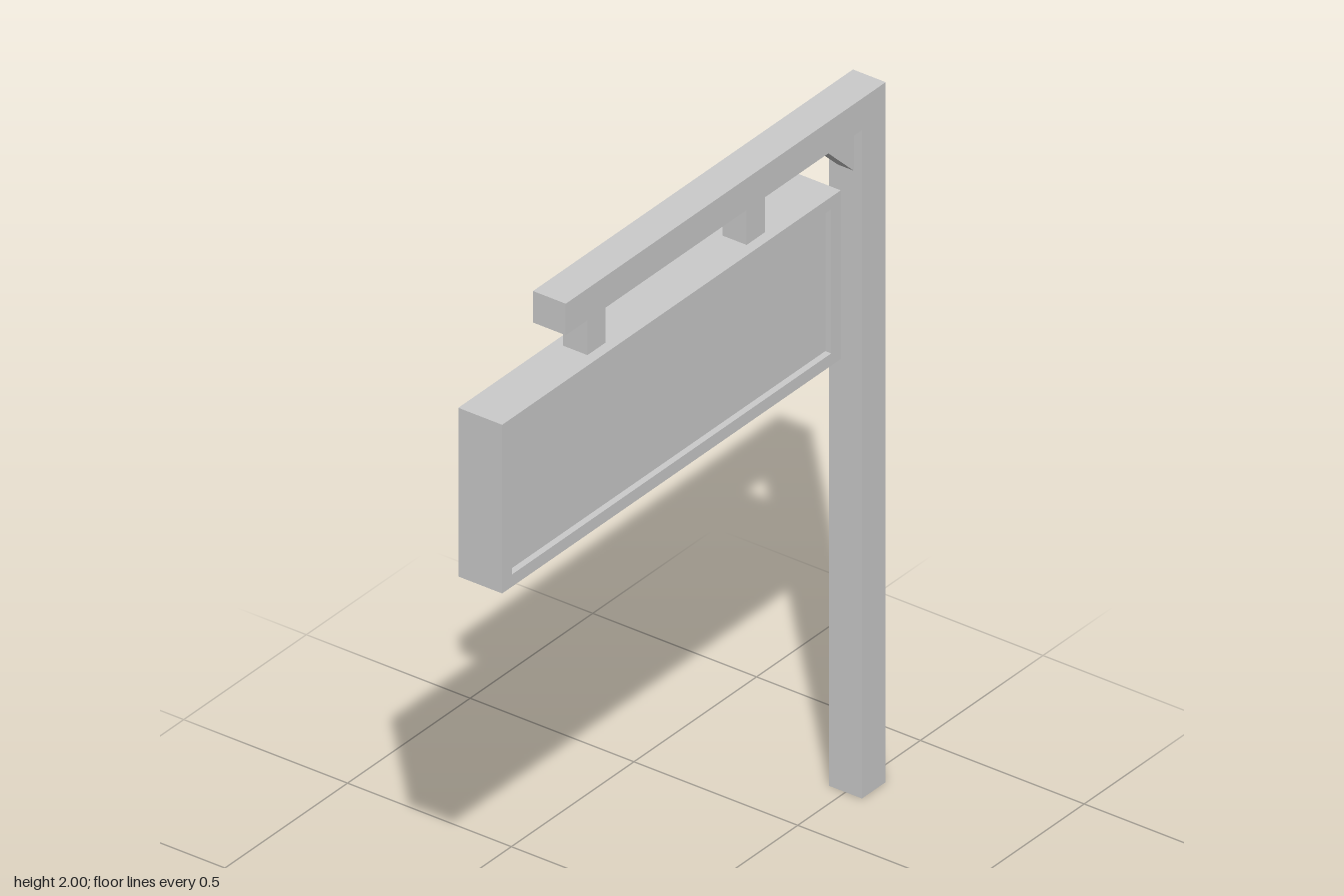
import * as THREE from 'three';

const material = new THREE.MeshStandardMaterial({ color: 0xcccccc, flatShading: true });

function polygon(points) {
  return points.map(([x, y]) => new THREE.Vector2(x, y));
}

function rectangle(x0, x1, y0, y1) {
  return polygon([[x0, y0], [x1, y0], [x1, y1], [x0, y1]]);
}

// Extrude an outline in the XY plane, centred on z = 0
function plate(name, outline, depth, hole) {
  const shape = new THREE.Shape(outline);
  if (hole) shape.holes.push(new THREE.Path(hole));
  const geometry = new THREE.ExtrudeGeometry(shape, { depth, bevelEnabled: false });
  geometry.translate(0, 0, -depth / 2);
  const mesh = new THREE.Mesh(geometry, material);
  mesh.name = name;
  return mesh;
}

export function createModel() {
  const model = new THREE.Group();
  model.name = 'hangingSign';

  // Post and overhead arm in one L-shaped piece
  model.add(plate('postAndArm', polygon([
    [0.695, 0], [0.792, 0], [0.792, 2], [-0.513, 2], [-0.513, 1.91], [0.695, 1.91],
  ]), 0.1));

  // Corner brace, thinner than the post
  model.add(plate('cornerBrace', polygon([
    [0.565, 1.91], [0.695, 1.785], [0.695, 1.91],
  ]), 0.05));

  // Two square hangers between arm and sign
  for (const [name, x] of [['rightHanger', -0.37], ['leftHanger', 0.279]]) {
    model.add(plate(name, rectangle(x - 0.037, x + 0.037, 1.795, 1.91), 0.074));
  }

  // Sign: raised rim around a panel recessed on both faces
  const opening = rectangle(-0.755, 0.547, 1.35, 1.762);
  const sign = new THREE.Group();
  sign.name = 'sign';
  sign.add(plate('signFrame', rectangle(-0.795, 0.586, 1.315, 1.797), 0.134, opening));
  sign.add(plate('signPanel', opening, 0.098));
  model.add(sign);

  return model;
}
